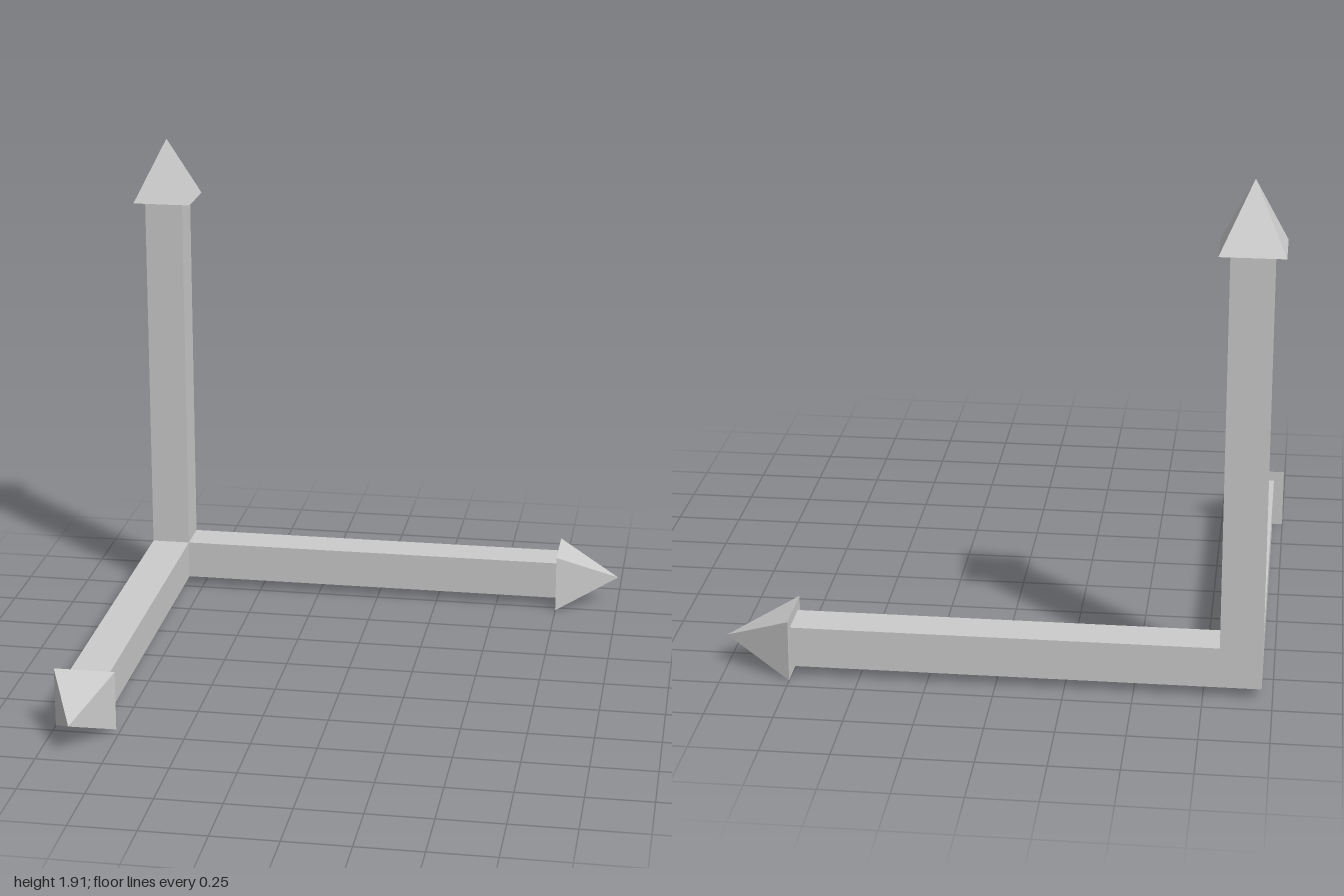
import * as THREE from 'three';

const HALF = 0.0765; // half the bar thickness
const HEAD = 0.116; // half the arrowhead width

export function createModel() {
  const material = new THREE.MeshStandardMaterial({ color: 0xcccccc, flatShading: true });
  const model = new THREE.Group();
  model.name = 'axisArrows';
  model.position.set(-0.884, 0.116, -0.839);

  function add(parent, name, geometry) {
    const mesh = new THREE.Mesh(geometry, material);
    mesh.name = name;
    parent.add(mesh);
  }

  // Arrow along +y: square bar from start to neck, pyramid head from neck to tip
  function addArrow(name, start, neck, tip) {
    const arrow = new THREE.Group();
    arrow.name = name;
    add(arrow, 'bar', new THREE.BoxGeometry(HALF * 2, neck - start, HALF * 2)
      .translate(0, (start + neck) / 2, 0));
    add(arrow, 'arrowhead', new THREE.ConeGeometry(HEAD * Math.SQRT2, tip - neck, 4)
      .rotateY(Math.PI / 4)
      .translate(0, (neck + tip) / 2, 0));
    model.add(arrow);
    return arrow;
  }

  // The upright bar fills the shared corner; the other two butt against it
  addArrow('upArrow', -HALF, 1.547, 1.793);
  addArrow('sideArrow', HALF, 1.634, 1.884).rotation.z = -Math.PI / 2;
  addArrow('frontArrow', HALF, 1.545, 1.793).rotation.x = Math.PI / 2;

  const group = new THREE.Group();
  group.add(model);
  return group;
}
